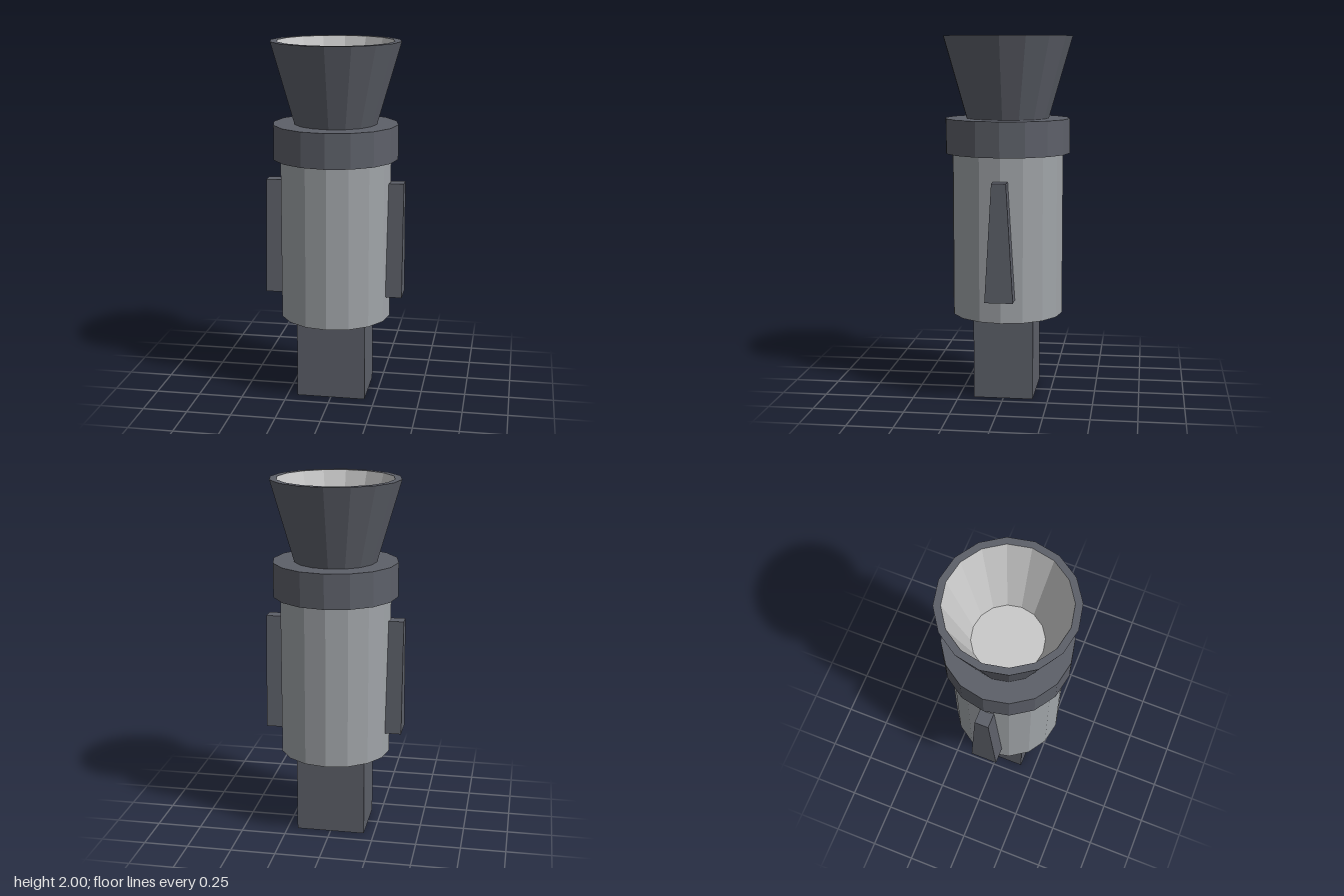
import * as THREE from 'three';

const SIDES = 16;

export function createModel() {
  const model = new THREE.Group();
  const material = (name, color) => {
    const m = new THREE.MeshStandardMaterial({ color, flatShading: true });
    m.name = name;
    return m;
  };
  const darkMetal = material('dark metal', 0x5d6069);
  const lightMetal = material('light metal', 0xa0a4a8);
  const paleLining = material('pale lining', 0xcacaca);

  const add = (name, geometry, mat, x = 0, y = 0, z = 0) => {
    const mesh = new THREE.Mesh(geometry, mat);
    mesh.name = name;
    mesh.position.set(x, y, z);
    model.add(mesh);
    return mesh;
  };
  const drum = (r, y0, y1) => new THREE.CylinderGeometry(r, r, y1 - y0, SIDES).translate(0, (y0 + y1) / 2, 0);
  const lathe = (points) => new THREE.LatheGeometry(points.map(([r, y]) => new THREE.Vector2(r, y)), SIDES);

  // Square plug at the foot
  add('basePlug', new THREE.BoxGeometry(0.385, 0.455, 0.33), darkMetal, 0, 0.2275, 0);

  // Barrel and the wider collar around its top
  add('body', drum(0.31, 0.455, 1.54), lightMetal);
  add('collar', drum(0.348, 1.358, 1.55), darkMetal);

  // Flared bell: dark shell and rim, pale lining and floor
  add('bellShell', lathe([[0.23, 1.55], [0.36, 2], [0.322, 2]]), darkMetal);
  add('bellLining', lathe([[0.322, 2], [0.193, 1.556], [0, 1.556]]), paleLining);

  // Tapered side fins
  const finShape = new THREE.Shape([
    new THREE.Vector2(-0.077, 0.585),
    new THREE.Vector2(0.077, 0.585),
    new THREE.Vector2(0.039, 1.228),
    new THREE.Vector2(-0.039, 1.228),
  ]);
  const finGeometry = new THREE.ExtrudeGeometry(finShape, { depth: 0.106, bevelEnabled: false });
  finGeometry.translate(0, 0, 0.28);
  for (const side of [1, -1]) {
    const fin = add(side > 0 ? 'leftFin' : 'rightFin', finGeometry, darkMetal);
    fin.rotation.y = side * Math.PI / 2;
  }

  return model;
}
